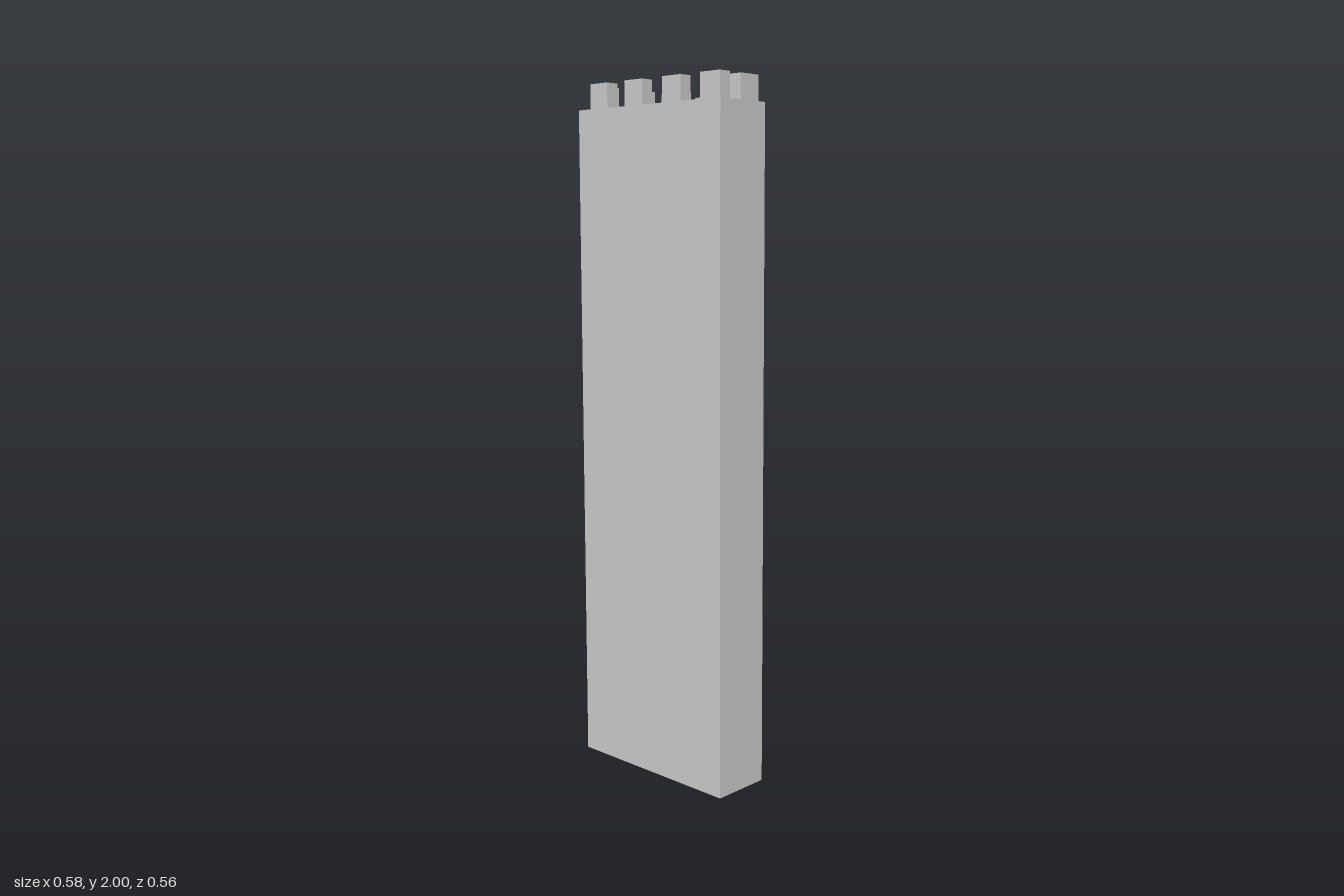
import * as THREE from 'three';
import { toCreasedNormals } from 'three/addons/utils/BufferGeometryUtils.js';

const WALL_TOP = 1.93, TOP = 2;
const BACK = -0.28, LEFT = -0.288, FRONT = 0.28, RIGHT = 0.288;

export function createModel() {
  const model = new THREE.Group();
  model.name = 'cornerTower';
  const material = new THREE.MeshStandardMaterial({ color: 0xcccccc });

  // Tower body: square corner plan with a concave inner wall, as [x, z]
  const plan = [
    [LEFT, FRONT], [-0.11, FRONT], [-0.087, 0.215], [0.01, 0.062],
    [0.135, -0.063], [RIGHT, -0.16], [RIGHT, BACK], [LEFT, BACK],
  ];
  const shape = new THREE.Shape(plan.map(([x, z]) => new THREE.Vector2(x, -z)));
  const bodyGeometry = new THREE.ExtrudeGeometry(shape, { depth: WALL_TOP, bevelEnabled: false });
  bodyGeometry.rotateX(-Math.PI / 2);
  const body = new THREE.Mesh(toCreasedNormals(bodyGeometry, Math.PI / 6), material);
  body.name = 'towerBody';
  model.add(body);

  // Battlements: one block per merlon, placed by its plan limits
  const battlements = new THREE.Group();
  battlements.name = 'battlements';
  model.add(battlements);
  const addMerlon = (name, x0, x1, z0, z1) => {
    const merlon = new THREE.Mesh(new THREE.BoxGeometry(x1 - x0, TOP - WALL_TOP, z1 - z0), material);
    merlon.position.set((x0 + x1) / 2, (TOP + WALL_TOP) / 2, (z0 + z1) / 2);
    merlon.name = name;
    battlements.add(merlon);
  };
  const half = 0.0355;
  for (const x of [-0.197, -0.049, 0.083, 0.23]) {
    addMerlon('backMerlon', x - half, x + half, BACK, BACK + 0.035);
  }
  for (const z of [-0.193, -0.051, 0.099, 0.243]) {
    addMerlon('sideMerlon', LEFT, LEFT + 0.039, z - half, z + half);
  }
  addMerlon('frontMerlon', -0.204, -0.134, 0.237, 0.277);

  return model;
}
